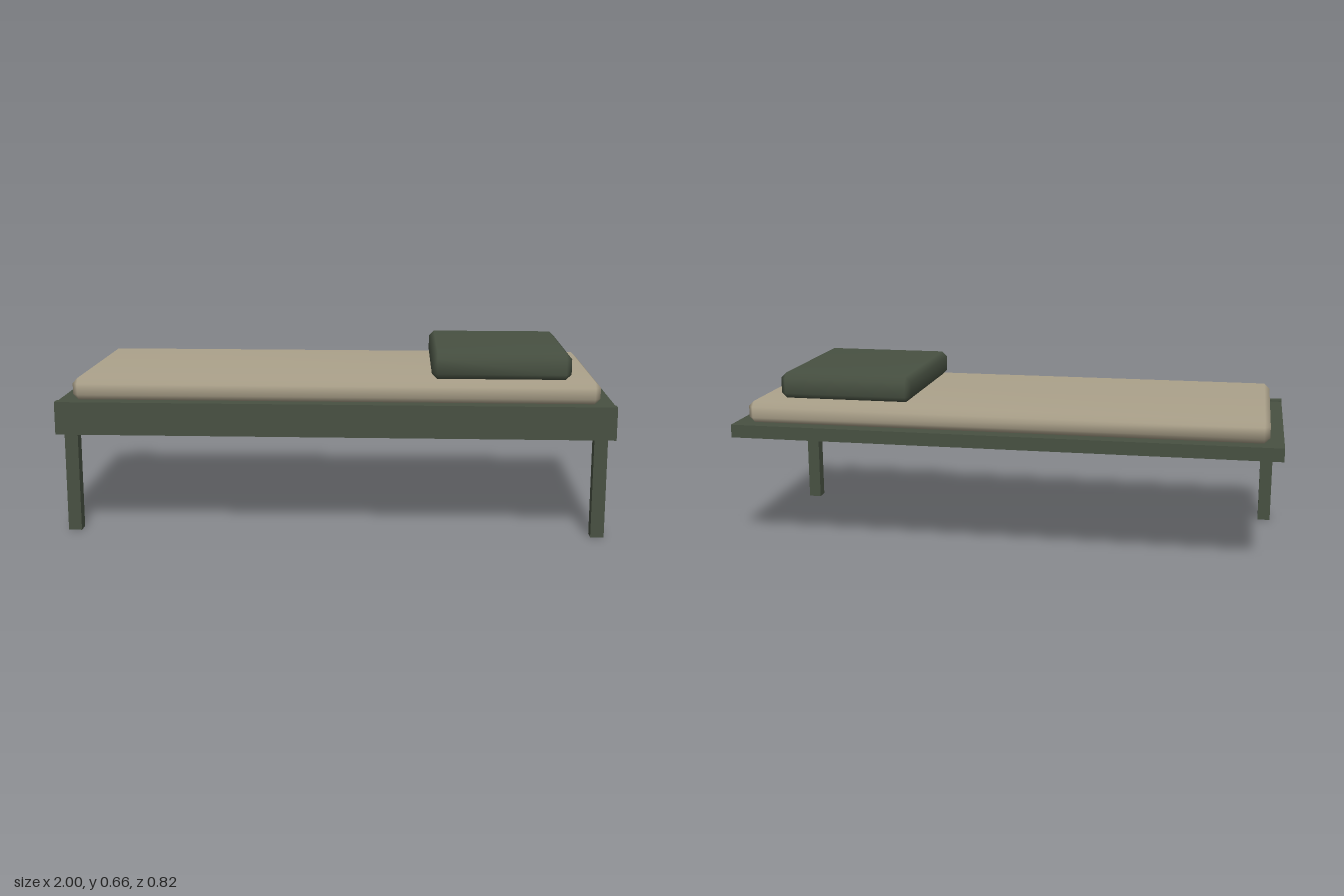
import * as THREE from 'three';
import { ConvexGeometry } from 'three/addons/geometries/ConvexGeometry.js';
import { mergeVertices } from 'three/addons/utils/BufferGeometryUtils.js';

// Box with bevelled edges and softly shaded corners
function bevelledBox(w, h, d, bevel) {
  const points = [];
  for (const sx of [-1, 1]) for (const sy of [-1, 1]) for (const sz of [-1, 1]) {
    for (let axis = 0; axis < 3; axis++) {
      const p = [w / 2, h / 2, d / 2].map((v, i) => (i === axis ? v : v - bevel));
      points.push(new THREE.Vector3(sx * p[0], sy * p[1], sz * p[2]));
    }
  }
  const hull = new ConvexGeometry(points);
  hull.deleteAttribute('normal');
  const geometry = mergeVertices(hull);
  geometry.computeVertexNormals();
  return geometry;
}

export function createModel() {
  const group = new THREE.Group();
  group.name = 'bunk';

  const green = new THREE.MeshStandardMaterial({ color: 0x485142 });
  green.name = 'dark olive green';
  const beige = new THREE.MeshStandardMaterial({ color: 0xaca28b });
  beige.name = 'beige fabric';

  function add(name, geometry, material, x, y, z) {
    const mesh = new THREE.Mesh(geometry, material);
    mesh.name = name;
    mesh.position.set(x, y, z);
    group.add(mesh);
  }

  // Sleeping platform with a deeper rail along the front
  add('platform', new THREE.BoxGeometry(2, 0.048, 0.782), green, 0, 0.457, -0.019);
  add('frontRail', new THREE.BoxGeometry(2, 0.119, 0.038), green, 0, 0.4265, 0.391);

  // Two legs under the front edge
  for (const side of [-1, 1]) {
    add(side > 0 ? 'leftLeg' : 'rightLeg', new THREE.BoxGeometry(0.048, 0.433, 0.048), green, side * 0.952, 0.2165, 0.351);
  }

  // Bedding
  add('mattress', bevelledBox(1.9, 0.08, 0.72, 0.02), beige, 0, 0.521, -0.01);
  add('pillow', bevelledBox(0.5, 0.095, 0.6, 0.02), green, 0.6, 0.6085, 0.01);

  return group;
}
